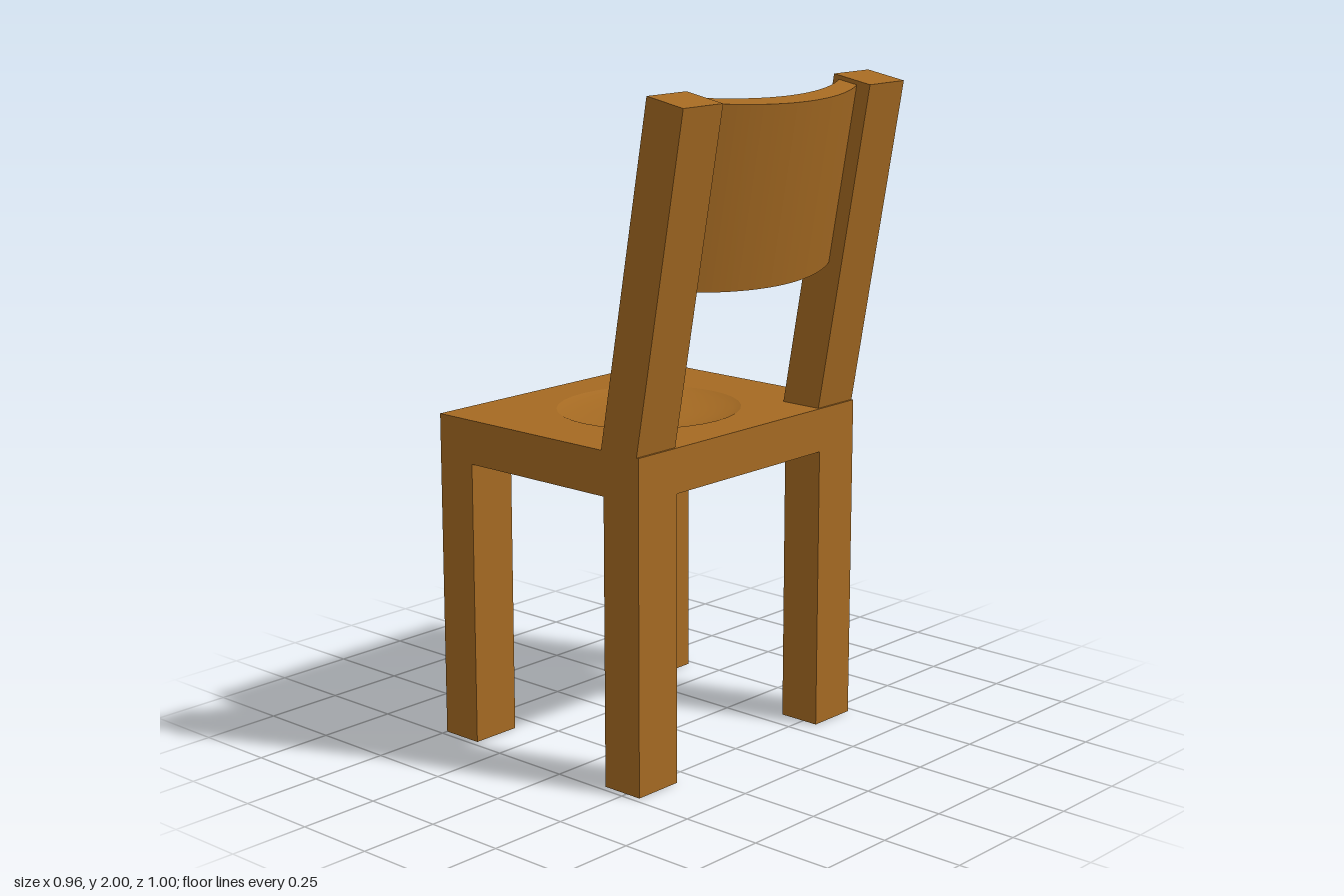
import * as THREE from 'three';

const SEAT_Y = 1, SEAT_T = 0.133, WIDTH = 0.96, FRONT = 0.3, BACK = -0.5;
const POST_W = 0.16, POST_D = 0.133, INNER = 0.32;

export function createModel() {
  const chair = new THREE.Group();
  chair.name = 'chair';
  const wood = new THREE.MeshStandardMaterial({ color: 0xa56a22 });
  wood.name = 'brown wood';

  const add = (parent, name, geometry, x = 0, y = 0, z = 0) => {
    const mesh = new THREE.Mesh(geometry, wood);
    mesh.name = name;
    mesh.position.set(x, y, z);
    parent.add(mesh);
    return mesh;
  };

  // Four square legs flush with the seat corners
  const legH = SEAT_Y - SEAT_T;
  for (const side of [-1, 1]) {
    for (const [name, z] of [['rear', FRONT - POST_D / 2], ['fore', BACK + POST_D / 2]]) {
      add(chair, `${name}Leg${side > 0 ? 'Left' : 'Right'}`,
        new THREE.BoxGeometry(POST_W, legH, POST_D), side * (WIDTH - POST_W) / 2, legH / 2, z);
    }
  }

  // Seat: solid slab below, plate with an oval opening above
  const plateT = 0.036, slabT = SEAT_T - plateT;
  const midZ = (FRONT + BACK) / 2;
  add(chair, 'seatSlab', new THREE.BoxGeometry(WIDTH, slabT, FRONT - BACK), 0, legH + slabT / 2, midZ);

  const rx = 0.285, rz = 0.27, hw = WIDTH / 2, hd = (FRONT - BACK) / 2;
  const plate = new THREE.Shape();
  plate.moveTo(-hw, -hd).lineTo(hw, -hd).lineTo(hw, hd).lineTo(-hw, hd).closePath();
  const opening = new THREE.Path();
  opening.absellipse(0, 0, rx, rz, 0, Math.PI * 2, true);
  plate.holes.push(opening);
  const plateGeo = new THREE.ExtrudeGeometry(plate, { depth: plateT, bevelEnabled: false, curveSegments: 16 });
  plateGeo.rotateX(-Math.PI / 2);
  add(chair, 'seatTop', plateGeo, 0, SEAT_Y - plateT, midZ);

  // Shallow dished hollow, profile from rim to middle
  const profile = [[1, 0], [0.9, -0.01], [0.7, -0.019], [0.47, -0.025], [0, -0.028]]
    .map(([r, y]) => new THREE.Vector2(r * rx, y));
  const dish = new THREE.LatheGeometry(profile, 32);
  dish.scale(1, 1, rz / rx);
  add(chair, 'seatHollow', dish, 0, SEAT_Y, midZ);

  // Backrest, leaning ten degrees
  const back = new THREE.Group();
  back.name = 'backrest';
  back.position.set(0, SEAT_Y, 0.158);
  back.rotation.x = THREE.MathUtils.degToRad(10);
  chair.add(back);

  const postTop = 1.015, sunk = 0.06;
  for (const side of [-1, 1]) {
    add(back, side > 0 ? 'backPostLeft' : 'backPostRight',
      new THREE.BoxGeometry(POST_W, postTop + sunk, POST_D),
      side * (WIDTH - POST_W) / 2, (postTop - sunk) / 2, POST_D / 2);
  }

  // Curved panel between the posts
  const R = 0.665, near = 0.1025, thick = 0.066;
  const a0 = Math.acos(INNER / R), a1 = Math.PI - a0;
  const panel = new THREE.Shape();
  panel.absarc(0, near + thick - R, R, a0, a1, false);
  panel.absarc(0, near - R, R, a1, a0, true);
  panel.closePath();
  const panelGeo = new THREE.ExtrudeGeometry(panel, { depth: 0.535, bevelEnabled: false, curveSegments: 16 });
  panelGeo.rotateX(Math.PI / 2);
  add(back, 'backPanel', panelGeo, 0, 1.003, 0);

  return chair;
}
